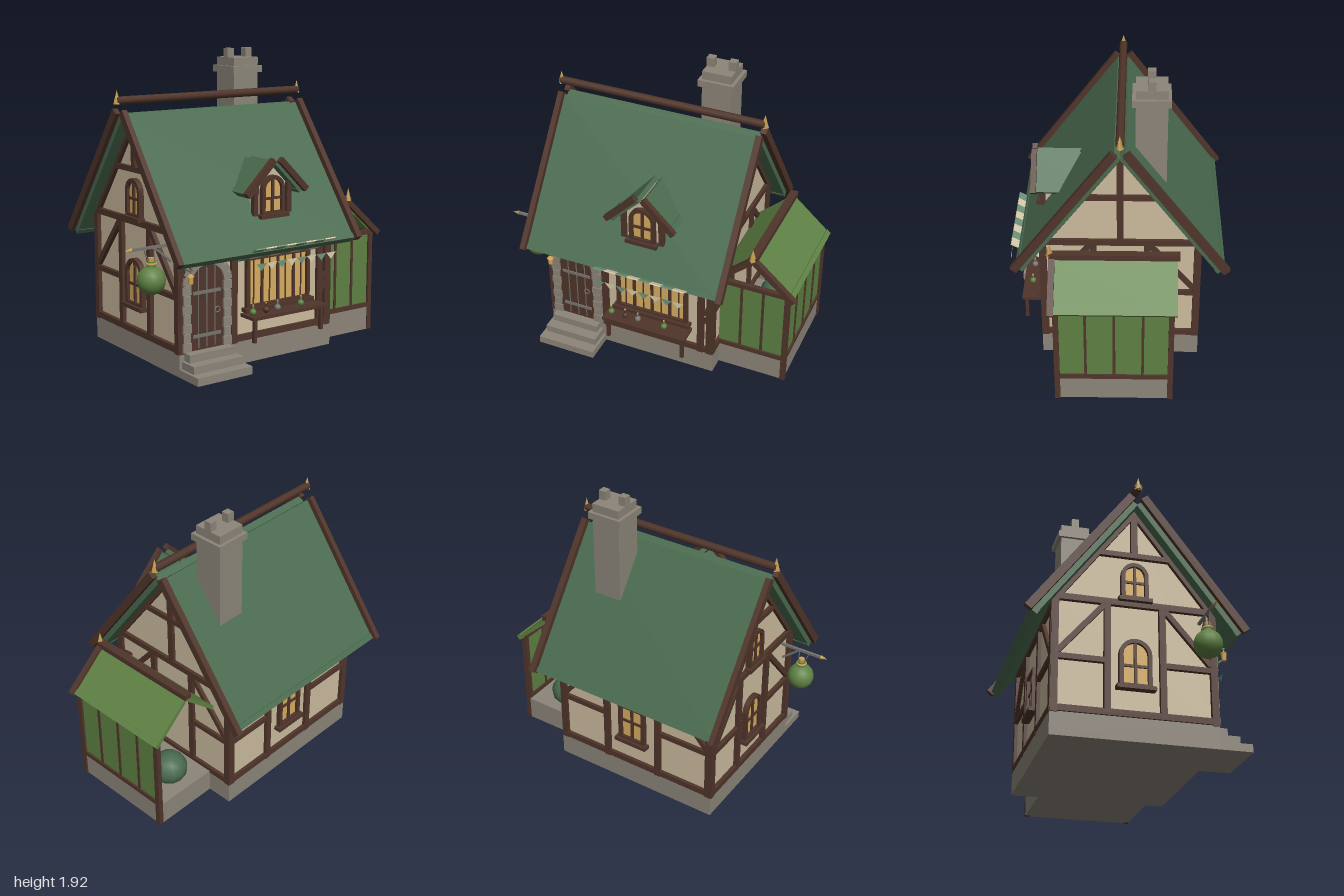
import * as THREE from 'three';

const mat = (name, color, side = THREE.FrontSide) => {
  const m = new THREE.MeshStandardMaterial({ color, side });
  m.name = name;
  return m;
};

export function createModel() {
  const root = new THREE.Group();
  root.name = 'cottage';
  const roofGreen = mat('roof green', 0x4a6b4f), timber = mat('timber brown', 0x50352a);
  const plaster = mat('plaster cream', 0xcdbd9f), stone = mat('stone grey', 0x8d867a);
  const leaf = mat('glass green', 0x5f8244), amber = mat('window amber', 0xd8ae62);
  const gold = mat('gold', 0xc9a253), iron = mat('iron grey', 0x77756f);
  const awningGreen = mat('awning green', 0x6f957b, THREE.DoubleSide);
  const awningCream = mat('awning cream', 0xdccfae, THREE.DoubleSide);

  // ---- helpers ----
  const add = (g, name, geo, m, x = 0, y = 0, z = 0) => {
    const mesh = new THREE.Mesh(geo, m);
    mesh.name = name;
    mesh.position.set(x, y, z);
    g.add(mesh);
    return mesh;
  };
  const group = (name, x = 0, y = 0, z = 0, ry = 0, parent = root) => {
    const g = new THREE.Group();
    g.name = name;
    g.position.set(x, y, z);
    g.rotation.y = ry;
    parent.add(g);
    return g;
  };
  // Box from its minimum to its maximum corner
  const span = (g, name, m, x0, x1, y0, y1, z0, z1) =>
    add(g, name, new THREE.BoxGeometry(x1 - x0, y1 - y0, z1 - z0), m, (x0 + x1) / 2, (y0 + y1) / 2, (z0 + z1) / 2);
  // Timber lying on a wall's local xy plane
  const strut = (g, x0, y0, x1, y1, w = 0.04, name = 'wallTimber', m = timber, z0 = -0.01, z1 = 0.022) => {
    const b = add(g, name, new THREE.BoxGeometry(Math.hypot(x1 - x0, y1 - y0), w, z1 - z0), m,
      (x0 + x1) / 2, (y0 + y1) / 2, (z0 + z1) / 2);
    b.rotation.z = Math.atan2(y1 - y0, x1 - x0);
    return b;
  };
  const extrude = (shape, depth) => new THREE.ExtrudeGeometry(shape, { depth, bevelEnabled: false, curveSegments: 8 });
  const polygon = (pts) => new THREE.Shape(pts.map((p) => new THREE.Vector2(p[0], p[1])));
  const opening = (w, y0, y1, arched) => {
    const s = new THREE.Shape(), r = w / 2;
    s.moveTo(-r, y0);
    s.lineTo(r, y0);
    s.lineTo(r, arched ? y1 - r : y1);
    if (arched) s.absarc(0, y1 - r, r, 0, Math.PI, false);
    else s.lineTo(-r, y1);
    s.lineTo(-r, y0);
    return s;
  };
  // Framed window with panes, bars and a sill
  const addWindow = (parent, x, w, y0, y1, arched, cols, barY, f = 0.025) => {
    const g = group('window', x, 0, 0, 0, parent);
    const frame = opening(w, y0, y1, arched);
    frame.holes.push(opening(w - 2 * f, y0 + f, y1 - f, arched));
    add(g, 'windowFrame', extrude(frame, 0.04), timber, 0, 0, -0.01);
    add(g, 'windowPane', extrude(opening(w - f, y0 + f / 2, y1 - f / 2, arched), 0.008), amber, 0, 0, 0.002);
    for (let i = 1; i < cols; i++) {
      const bx = -w / 2 + (w * i) / cols;
      span(g, 'windowBar', timber, bx - 0.009, bx + 0.009, y0 + 0.01, y1 - 0.01, 0, 0.022);
    }
    if (barY) span(g, 'windowBar', timber, -w / 2 + 0.01, w / 2 - 0.01, barY - 0.008, barY + 0.008, 0, 0.02);
    span(g, 'windowSill', timber, -w / 2 - 0.02, w / 2 + 0.02, y0 - 0.015, y0 + 0.01, 0, 0.05);
  };
  // Two pitched slabs with eave courses and bargeboards, profile in local xy
  const gableRoof = (g, m, top, foot, z0, z1, thick, drop, barges, bargeThick) => {
    for (const s of [-1, 1]) {
      const dx = foot[0] - top[0], dy = foot[1] - top[1], len = Math.hypot(dx, dy);
      const a = Math.atan2(dy, dx);
      const half = group('roofHalf', 0, 0, 0, s < 0 ? Math.PI : 0, g);
      const tilt = group('roofSlope', (top[0] + foot[0]) / 2, (top[1] + foot[1]) / 2, 0, 0, half);
      tilt.rotation.z = a;
      const zr = (p, q) => (s < 0 ? [-q, -p] : [p, q]);
      span(tilt, 'roofSlab', m, -len / 2 + 0.01, len / 2 - 0.015, -drop - thick / 2, -drop + thick / 2, ...zr(z0, z1));
      span(tilt, 'eaveCourse', m, len / 2 - 0.045, len / 2 - 0.01, -drop - thick / 2 - 0.004, -drop + thick / 2 + 0.007, ...zr(z0, z1));
      for (const b of barges)
        span(tilt, 'bargeboard', timber, -len / 2, len / 2, -bargeThick / 2, bargeThick / 2, ...zr(b[0], b[1]));
    }
  };
  const finial = (g, x, y, z) => add(g, 'finial', new THREE.ConeGeometry(0.026, 0.085, 4), gold, x, y, z);

  // ---- foundation, steps and main walls ----
  span(root, 'foundation', stone, -0.69, 0.485, 0, 0.145, -0.52, 0.5);
  [[0.2, 0, 0.05, 0.7], [0.183, 0.05, 0.098, 0.63], [0.163, 0.098, 0.148, 0.56]].forEach(([h, y0, y1, z]) =>
    span(root, 'doorStep', stone, -0.49 - h, -0.49 + h, y0, y1, 0.45, z));
  const house = group('house', 0, 0, -0.01, Math.PI / 2);
  add(house, 'plasterWalls', extrude(polygon([[-0.49, 0.14], [0.49, 0.14], [0.49, 0.855], [0, 1.515], [-0.49, 0.855]]), 1.135),
    plaster, 0, 0, -0.67);

  // ---- main roof, ridge and chimney ----
  gableRoof(house, roofGreen, [0.038, 1.57], [0.668, 0.73], -0.77, 0.56, 0.05, 0.035, [[-0.8, -0.765], [0.555, 0.595]], 0.05);
  const ridge = add(root, 'ridgeBeam', new THREE.CylinderGeometry(0.026, 0.026, 1.4, 8), timber, -0.105, 1.637, -0.01);
  ridge.rotation.z = Math.PI / 2;
  finial(root, -0.8, 1.66, -0.01);
  finial(root, 0.592, 1.66, -0.01);
  span(root, 'chimneyStack', stone, 0.138, 0.332, 1.0, 1.86, -0.295, -0.1);
  span(root, 'chimneyCap', stone, 0.117, 0.353, 1.76, 1.805, -0.315, -0.078);
  for (const x of [0.162, 0.308]) span(root, 'chimneyPot', stone, x - 0.025, x + 0.025, 1.86, 1.92, -0.222, -0.172);

  // ---- timber frames ----
  const front = group('frontWall', 0, 0, 0.48);
  const back = group('backWall', 0, 0, -0.5, Math.PI);
  const right = group('leftSideWall', 0.465, 0, -0.01, Math.PI / 2);
  const left = group('rightSideWall', -0.675, 0, -0.01, -Math.PI / 2);
  for (const x of [-0.667, -0.283, 0.395, 0.457]) strut(front, x, 0.14, x, 0.84, 0.044);
  strut(front, -0.29, 0.167, 0.47, 0.167);
  strut(front, -0.67, 0.8, 0.47, 0.8);
  strut(front, 0.38, 0.48, 0.47, 0.48);
  strut(front, 0.395, 0.36, 0.457, 0.46, 0.025);

  for (const x of [-0.46, -0.11, 0.285, 0.667]) strut(back, x, 0.14, x, 0.84, 0.044);
  for (const y of [0.167, 0.83]) strut(back, -0.47, y, 0.67, y);
  for (const [a, b] of [[-0.46, -0.11], [0.285, 0.667]]) strut(back, a, 0.49, b, 0.49, 0.034);
  strut(back, -0.46, 0.5, -0.2, 0.82, 0.034);
  strut(back, 0.667, 0.5, 0.39, 0.82, 0.034);
  addWindow(back, 0.09, 0.2, 0.34, 0.62, false, 2, 0.49);

  for (const g of [left, right]) {
    for (const s of [-1, 1]) {
      strut(g, s * 0.487, 0.14, s * 0.487, 0.87, 0.044);
      strut(g, s * 0.17, 0.16, s * 0.17, 0.88);
      strut(g, s * 0.17, 0.49, s * 0.487, 0.49, 0.034);
      strut(g, s * 0.47, 0.52, s * 0.19, 0.85, 0.034);
      strut(g, s * 0.47, 0.88, s * 0.01, 1.49, 0.034, 'gableRafter');
    }
    for (const y of [0.167, 0.875]) strut(g, -0.49, y, 0.49, y);
    strut(g, -0.23, 1.205, 0.23, 1.205, 0.034, 'collarBeam');
  }
  strut(right, 0, 0.89, 0, 1.53, 0.042, 'kingPost');
  strut(left, 0, 1.2, 0, 1.53, 0.042, 'kingPost');
  addWindow(left, 0, 0.2, 0.33, 0.64, true, 2, 0.47);
  addWindow(left, 0, 0.17, 0.9, 1.15, true, 2, 1.02);

  // ---- door with stone surround ----
  const door = group('door', -0.49, 0, 0, 0, front);
  add(door, 'doorLeaf', extrude(opening(0.25, 0.148, 0.685, true), 0.018), timber);
  for (const x of [-0.06, 0, 0.06]) span(door, 'plankGap', iron, x - 0.003, x + 0.003, 0.16, 0.66, 0.01, 0.021);
  for (const y of [0.237, 0.507]) span(door, 'doorStrap', iron, -0.1, 0.1, y - 0.01, y + 0.01, 0.01, 0.025);
  add(door, 'doorRing', new THREE.TorusGeometry(0.018, 0.004, 6, 12), iron, 0.075, 0.385, 0.026);
  for (const s of [-1, 1]) for (let i = 0; i < 7; i++) {
    const w = i % 2 ? 0.05 : 0.062;
    span(door, 'jambStone', stone, s * 0.148 - w / 2, s * 0.148 + w / 2, 0.15 + i * 0.059, 0.204 + i * 0.059, -0.01, 0.032);
  }
  for (let i = 0; i < 9; i++) {
    const a = (Math.PI * (i + 0.5)) / 9;
    add(door, 'archStone', new THREE.BoxGeometry(0.058, 0.047, 0.045), stone, Math.cos(a) * 0.148, 0.56 + Math.sin(a) * 0.148, 0.012)
      .rotation.z = a;
  }

  // ---- shop window, awning and counter ----
  addWindow(front, 0.055, 0.5, 0.345, 0.68, false, 4, 0);
  for (let i = 0; i < 4; i++) span(front, 'thinBar', timber, -0.137 + i * 0.125, -0.129 + i * 0.125, 0.36, 0.67, 0, 0.015);
  for (let i = 0; i < 8; i++) {
    const m = i % 2 ? awningCream : awningGreen, w = 0.62 / 8, x = -0.26 + (i + 0.5) * w;
    add(root, 'awningStripe', new THREE.BoxGeometry(w, 0.008, 0.225), m, x, 0.715, 0.592).rotation.x = -0.5;
    add(root, 'awningScallop', new THREE.ShapeGeometry(polygon([[-w / 2, 0.68], [0, 0.635], [w / 2, 0.68]])), m, x, 0, 0.695);
  }
  span(root, 'counterTop', timber, -0.24, 0.34, 0.308, 0.328, 0.5, 0.64);
  for (const x of [-0.21, 0.315]) span(root, 'counterLeg', timber, x - 0.011, x + 0.011, 0.16, 0.31, 0.6, 0.622);
  [[-0.2, leaf], [-0.1, timber], [-0.01, iron], [0.175, leaf]].forEach(([x, m]) => {
    const b = group('bottle', x, 0.328, 0.58);
    add(b, 'bottleBody', new THREE.SphereGeometry(0.021, 10, 8), m, 0, 0.02);
    add(b, 'bottleNeck', new THREE.CylinderGeometry(0.007, 0.007, 0.03, 8), m, 0, 0.046);
    add(b, 'bottleCork', new THREE.CylinderGeometry(0.006, 0.006, 0.01, 8), gold, 0, 0.063);
  });

  // ---- lantern by the door ----
  const lantern = group('lantern', -0.645, 0.61, 0.56);
  add(lantern, 'lanternGlass', new THREE.CylinderGeometry(0.018, 0.015, 0.045, 6), amber);
  add(lantern, 'lanternCap', new THREE.ConeGeometry(0.024, 0.022, 6), gold, 0, 0.033);
  span(lantern, 'lanternArm', iron, -0.005, 0.005, 0.05, 0.06, -0.08, 0.005);
  span(lantern, 'lanternHook', iron, -0.003, 0.003, 0.035, 0.055, -0.003, 0.003);

  // ---- hanging flask sign ----
  const sign = group('hangingSign', 0, 0, 0.4);
  strut(sign, -0.96, 0.803, -0.67, 0.803, 0.016, 'signArm', iron, -0.008, 0.008);
  strut(sign, -0.8, 0.8, -0.68, 0.7, 0.012, 'signBrace', iron, -0.006, 0.006);
  add(sign, 'signTip', new THREE.ConeGeometry(0.014, 0.045, 6), gold, -0.978, 0.803).rotation.z = Math.PI / 2;
  for (const s of [-1, 1]) strut(sign, -0.82 + s * 0.022, 0.72, -0.835 + s * 0.035, 0.8, 0.005, 'signChain', iron, -0.003, 0.003);
  add(sign, 'flaskBody', new THREE.SphereGeometry(0.088, 16, 12), leaf, -0.82, 0.603);
  add(sign, 'flaskNeck', new THREE.CylinderGeometry(0.026, 0.03, 0.05, 12), leaf, -0.82, 0.695);
  add(sign, 'flaskCollar', new THREE.TorusGeometry(0.028, 0.008, 6, 14), gold, -0.82, 0.705).rotation.x = Math.PI / 2;
  add(sign, 'flaskStopper', new THREE.CylinderGeometry(0.02, 0.018, 0.03, 10), gold, -0.82, 0.727);

  // ---- dormer ----
  const dormer = group('dormer', 0, 0, 0.49);
  add(dormer, 'dormerWall', extrude(polygon([[-0.125, 0.9], [0.125, 0.9], [0.125, 1.11], [0, 1.235], [-0.125, 1.11]]), 0.28), plaster, 0, 0, -0.28);
  gableRoof(dormer, roofGreen, [0.025, 1.275], [0.23, 1.072], -0.3, 0.045, 0.03, 0.025, [[0.04, 0.075]], 0.038);
  for (const s of [-1, 1]) strut(dormer, s * 0.128, 0.93, s * 0.128, 1.12, 0.034, 'dormerPost');
  addWindow(dormer, 0, 0.175, 0.925, 1.175, true, 2, 1.03);

  // ---- glasshouse annex, open at the back ----
  const annex = group('glasshouse', 0.7, 0, 0);
  span(annex, 'glasshouseBase', stone, -0.23, 0.235, 0, 0.16, -0.345, 0.385);
  for (const z of [0.375, -0.33]) span(annex, 'cornerPost', timber, 0.212, 0.245, 0, 0.7, z - 0.017, z + 0.017);
  span(annex, 'frontGlass', leaf, -0.22, 0.22, 0.17, 0.68, 0.368, 0.378);
  span(annex, 'sideGlass', leaf, 0.22, 0.23, 0.17, 0.68, -0.33, 0.37);
  for (const y of [0.175, 0.683]) {
    span(annex, 'frontRail', timber, -0.23, 0.235, y - 0.015, y + 0.015, 0.36, 0.392);
    span(annex, 'sideRail', timber, 0.21, 0.242, y - 0.015, y + 0.015, -0.34, 0.385);
  }
  for (const x of [-0.074, 0.07]) span(annex, 'frontMullion', timber, x - 0.008, x + 0.008, 0.17, 0.68, 0.362, 0.386);
  for (const z of [0.197, 0.02, -0.157]) span(annex, 'sideMullion', timber, 0.212, 0.238, 0.17, 0.68, z - 0.008, z + 0.008);
  gableRoof(annex, leaf, [0.005, 0.917], [0.275, 0.675], -0.365, 0.385, 0.025, 0.012, [[0.383, 0.422]], 0.036);
  span(annex, 'glasshouseRidge', timber, -0.026, 0.026, 0.912, 0.948, -0.378, 0.42);
  finial(annex, 0, 0.968, 0.415);
  const plant = add(annex, 'pottedShrub', new THREE.SphereGeometry(0.12, 12, 8), roofGreen, -0.01, 0.23, -0.18);
  plant.scale.y = 0.9;

  return root;
}
